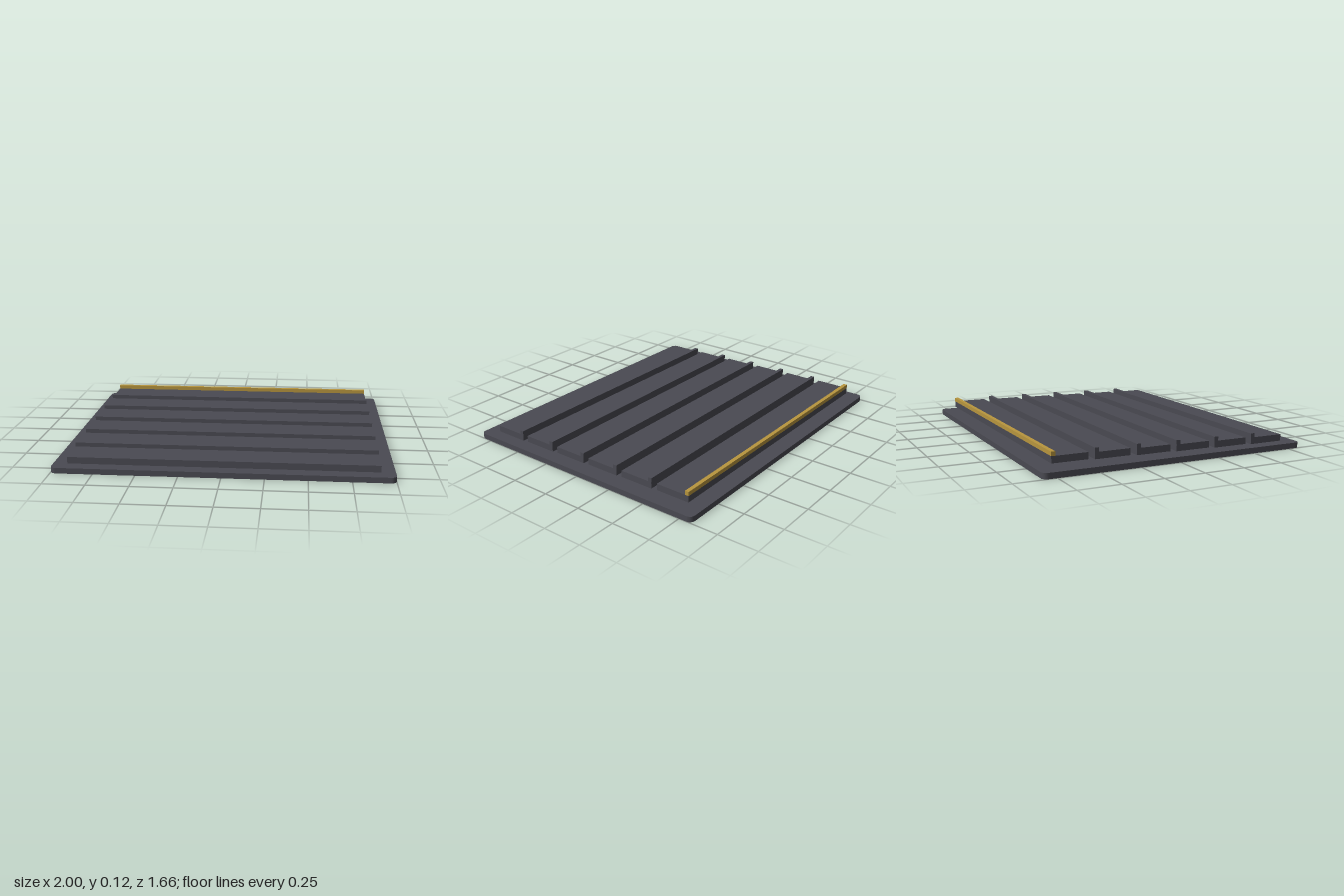
import * as THREE from 'three';

export function createModel() {
  const model = new THREE.Group();
  const slate = new THREE.MeshStandardMaterial({ color: 0x4a4a52 });
  slate.name = 'dark slate';
  const gold = new THREE.MeshStandardMaterial({ color: 0xb8963e });
  gold.name = 'gold';

  // Base plate with rounded corners, lying flat
  const w = 1, d = 0.832, r = 0.033, baseHeight = 0.034;
  const outline = new THREE.Shape();
  outline.moveTo(-w + r, -d);
  outline.absarc(w - r, -d + r, r, -Math.PI / 2, 0);
  outline.absarc(w - r, d - r, r, 0, Math.PI / 2);
  outline.absarc(-w + r, d - r, r, Math.PI / 2, Math.PI);
  outline.absarc(-w + r, -d + r, r, Math.PI, Math.PI * 1.5);
  const plate = new THREE.ExtrudeGeometry(outline, { depth: baseHeight, bevelEnabled: false, curveSegments: 6 });
  plate.rotateX(-Math.PI / 2);
  const base = new THREE.Mesh(plate, slate);
  base.name = 'basePlate';
  model.add(base);

  // Six slats rising slightly towards the back, each with a lip on its rear edge
  const count = 6, width = 1.833, depth = 0.217, thick = 0.04, lip = 0.025;
  const slatGeometry = new THREE.BoxGeometry(width, thick, depth);
  const lipGeometry = new THREE.BoxGeometry(width, lip, lip);
  for (let i = 0; i < count; i++) {
    const slat = new THREE.Group();
    slat.name = `slat${i + 1}`;
    slat.position.set(0, baseHeight + i * 0.005, 0.642 - i * 0.2568);

    const board = new THREE.Mesh(slatGeometry, slate);
    board.name = 'slatBoard';
    board.position.y = thick / 2;

    // Only the rearmost lip is gold
    const edge = new THREE.Mesh(lipGeometry, i === count - 1 ? gold : slate);
    edge.name = 'slatLip';
    edge.position.set(0, thick + lip / 2, -depth / 2 + lip / 2 - 0.001);

    slat.add(board, edge);
    model.add(slat);
  }
  return model;
}
